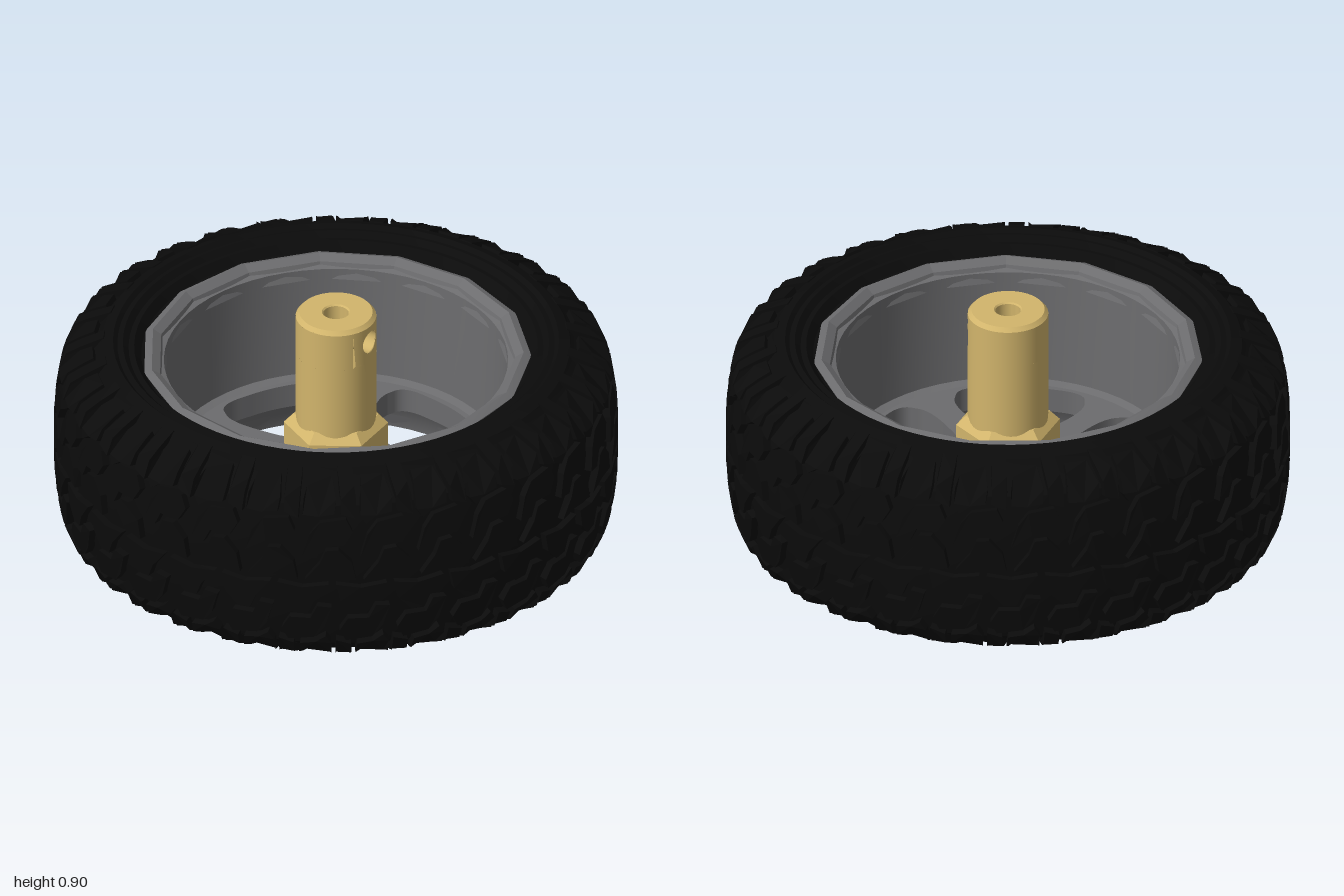
import * as THREE from 'three';
import { mergeGeometries, toCreasedNormals } from 'three/addons/utils/BufferGeometryUtils.js';

const V2 = (p) => new THREE.Vector2(p[0], p[1]);
const MID = 0.39; // half the tyre width

const material = (color) => new THREE.MeshStandardMaterial({ color, side: THREE.DoubleSide });
const rubber = material(0x0b0b0b);
const alloy = material(0x6c6c6e);
const brass = material(0xd2b56c);
const steel = material(0x333335);

function add(parent, name, geometry, mat, y = 0) {
  const mesh = new THREE.Mesh(geometry, mat);
  mesh.name = name;
  mesh.position.y = y;
  parent.add(mesh);
  return mesh;
}

function lathe(points, segments, crease = 0.5) {
  return toCreasedNormals(new THREE.LatheGeometry(points.map(V2), segments), crease);
}

// Closed polygon whose corners are softened by a given fraction
function roundedPolygon(points, k, Type = THREE.Path) {
  const path = new Type();
  const v = points.map(V2), n = v.length;
  v.forEach((p, i) => {
    const a = p.clone().lerp(v[(i + n - 1) % n], k);
    const b = p.clone().lerp(v[(i + 1) % n], k);
    if (i === 0) path.moveTo(a.x, a.y); else path.lineTo(a.x, a.y);
    path.quadraticCurveTo(p.x, p.y, b.x, b.y);
  });
  path.closePath();
  return path;
}

// Crown of the tread, from the centre line to the shoulder (radius, height)
const crown = new THREE.SplineCurve(
  [[1, 0.39], [0.995, 0.55], [0.968, 0.69], [0.92, 0.728], [0.87, 0.75], [0.82, 0.774]].map(V2));

// A flat lug (angle in pitches, distance over the crown 0..1) bent onto the tyre
function lug(outline, pitch, height) {
  const shape = new THREE.Shape(outline.map(V2));
  const g = new THREE.ExtrudeGeometry(shape, { depth: 1, bevelEnabled: false });
  const pos = g.attributes.position;
  for (let i = 0; i < pos.count; i++) {
    const t = THREE.MathUtils.clamp(pos.getY(i), 0, 1);
    const p = crown.getPointAt(t), d = crown.getTangentAt(t);
    const sink = (1 - pos.getZ(i)) * height;
    const r = p.x - d.y * sink, y = p.y + d.x * sink, a = pos.getX(i) * pitch;
    pos.setXYZ(i, r * Math.sin(a), y - MID, r * Math.cos(a));
  }
  g.computeVertexNormals();
  return g;
}

function buildTyre() {
  const tyre = new THREE.Group();
  tyre.name = 'tyre';

  // Carcass: half profile mirrored about the centre plane
  const half = [[0.975, 0], [0.97, 0.16], [0.943, 0.285], [0.9, 0.32], [0.855, 0.342], [0.83, 0.375],
    [0.79, 0.39], [0.775, 0.376], [0.755, 0.382], [0.735, 0.362], [0.715, 0.366], [0.69, 0.335],
    [0.655, 0.325], [0.65, 0.27]];
  const profile = [...half.map(([r, y]) => [r, -y]).reverse(), ...half.slice(1)];
  add(tyre, 'carcass', lathe(profile, 72), rubber, MID);

  // Tread lugs repeated around one half, then turned over for the other
  const count = 30, pitch = (Math.PI * 2) / count;
  const outlines = [
    [[0.05, 0.02], [0.5, 0.05], [0.92, 0.02], [0.85, 0.17], [0.62, 0.28], [0.4, 0.27], [0.3, 0.16]],
    [[0.0, 0.22], [0.24, 0.21], [0.36, 0.32], [0.72, 0.32], [0.86, 0.43], [0.75, 0.53], [0.3, 0.5], [0.12, 0.4]],
    [[0.0, 0.56], [0.1, 0.49], [0.28, 0.55], [0.55, 0.57], [0.58, 0.68], [0.54, 0.8], [0.5, 0.9], [0.05, 0.9], [0.04, 0.8], [0, 0.68]],
    [[0.66, 0.57], [0.92, 0.53], [0.93, 0.68], [0.92, 0.8], [0.9, 0.99], [0.6, 0.99], [0.63, 0.8], [0.66, 0.68]],
  ];
  const lugs = [];
  for (const outline of outlines) {
    const base = lug(outline, pitch, 0.03);
    for (let i = 0; i < count; i++) {
      lugs.push(base.clone().rotateY(i * pitch));
      lugs.push(base.clone().rotateX(Math.PI).rotateY((i + 0.5) * pitch));
    }
  }
  add(tyre, 'treadLugs', mergeGeometries(lugs), rubber, MID);
  return tyre;
}

function buildRim() {
  const rim = new THREE.Group();
  rim.name = 'rim';

  // Barrel with the stepped lower wall
  add(rim, 'barrel', lathe([[0.64, 0.05], [0.62, 0.06], [0.61, 0.11], [0.575, 0.17], [0.57, 0.18],
    [0.57, 0.27], [0.598, 0.28], [0.61, 0.7], [0.64, 0.71], [0.65, 0.6], [0.65, 0.15], [0.64, 0.05]], 60), alloy);

  // Faceted lips on both sides
  const lip = lathe([[0.615, 0.66], [0.635, 0.718], [0.665, 0.737], [0.692, 0.725], [0.692, 0.68]], 15, 0.2);
  add(rim, 'upperLip', lip, alloy);
  add(rim, 'lowerLip', lip.clone().rotateX(Math.PI), alloy, 2 * MID);

  // Spoke plate with five rounded windows
  const plate = new THREE.Shape().absarc(0, 0, 0.605, 0, Math.PI * 2);
  plate.holes.push(new THREE.Path().absarc(0, 0, 0.2, 0, Math.PI * 2, true));
  const corners = [[0.2, -0.075], [0.4, -0.235], [0.52, -0.225], [0.555, 0], [0.52, 0.225], [0.4, 0.235], [0.2, 0.075]];
  for (let i = 0; i < 5; i++) {
    const a = (i * Math.PI * 2) / 5, c = Math.cos(a), s = Math.sin(a);
    plate.holes.push(roundedPolygon(corners.map(([x, y]) => [x * c - y * s, x * s + y * c]), 0.4));
  }
  const spokes = new THREE.ExtrudeGeometry(plate, { depth: 0.09, bevelEnabled: false, curveSegments: 40 });
  spokes.rotateX(-Math.PI / 2);
  add(rim, 'spokePlate', spokes, alloy, 0.18);

  // Hub, dished underneath
  add(rim, 'hub', lathe([[0, 0.25], [0.1, 0.25], [0.115, 0.235], [0.16, 0.2], [0.215, 0.178],
    [0.222, 0.18], [0.222, 0.275], [0, 0.275]], 40, 0.7), alloy);
  add(rim, 'screwHead', lathe([[0, 0.24], [0.035, 0.24], [0.04, 0.225], [0.085, 0.23], [0.1, 0.25]], 24), steel);
  return rim;
}

function buildCoupling() {
  const coupling = new THREE.Group();
  coupling.name = 'coupling';
  const R = 0.143, top = 0.885, holeY = 0.82, gap = 0.6, bandBottom = 0.74;

  // Hexagonal base with chamfered top
  const hex = new THREE.LatheGeometry([[0, 0.27], [0.185, 0.27], [0.185, 0.44], [0.15, 0.475], [0.1, 0.475]].map(V2), 6);
  add(coupling, 'hexBase', toCreasedNormals(hex, 0.2), brass);

  // Shaft, its upper band left open where the cross hole sits
  add(coupling, 'shaft', new THREE.CylinderGeometry(R, R, bandBottom - 0.45, 40, 1, true), brass, (bandBottom + 0.45) / 2);
  add(coupling, 'shaftBand', new THREE.CylinderGeometry(R, R, top - bandBottom, 40, 1, true,
    Math.PI / 2 + gap, 2 * Math.PI - 2 * gap), brass, (top + bandBottom) / 2);

  // Curved patch pierced by the cross hole
  const patch = new THREE.Shape();
  for (let i = 0; i <= 8; i++) patch.lineTo(R * gap * (i / 4 - 1), bandBottom);
  for (let i = 8; i >= 0; i--) patch.lineTo(R * gap * (i / 4 - 1), top);
  patch.holes.push(new THREE.Path().absarc(0, holeY, 0.043, 0, Math.PI * 2, true));
  const bent = new THREE.ShapeGeometry(patch, 14);
  const pos = bent.attributes.position;
  for (let i = 0; i < pos.count; i++) {
    const a = pos.getX(i) / R;
    pos.setXYZ(i, R * Math.cos(a), pos.getY(i), -R * Math.sin(a));
    bent.attributes.normal.setXYZ(i, Math.cos(a), 0, -Math.sin(a));
  }
  add(coupling, 'shaftPatch', bent, brass);
  const cross = add(coupling, 'crossHole', new THREE.CylinderGeometry(0.043, 0.043, 0.095, 24, 1, true), brass, holeY);
  cross.rotation.z = Math.PI / 2;
  cross.position.x = 0.09;

  // Chamfered end face and centre bore
  add(coupling, 'shaftEnd', lathe([[R, top], [0.13, 0.9], [0.05, 0.9], [0.045, 0.895], [0.045, 0.5]], 40, 0.4), brass);
  add(coupling, 'boreFloor', new THREE.CircleGeometry(0.045, 24).rotateX(-Math.PI / 2), steel, 0.51);
  return coupling;
}

export function createModel() {
  const wheel = new THREE.Group();
  wheel.name = 'wheel';
  wheel.add(buildTyre(), buildRim(), buildCoupling());
  return wheel;
}
